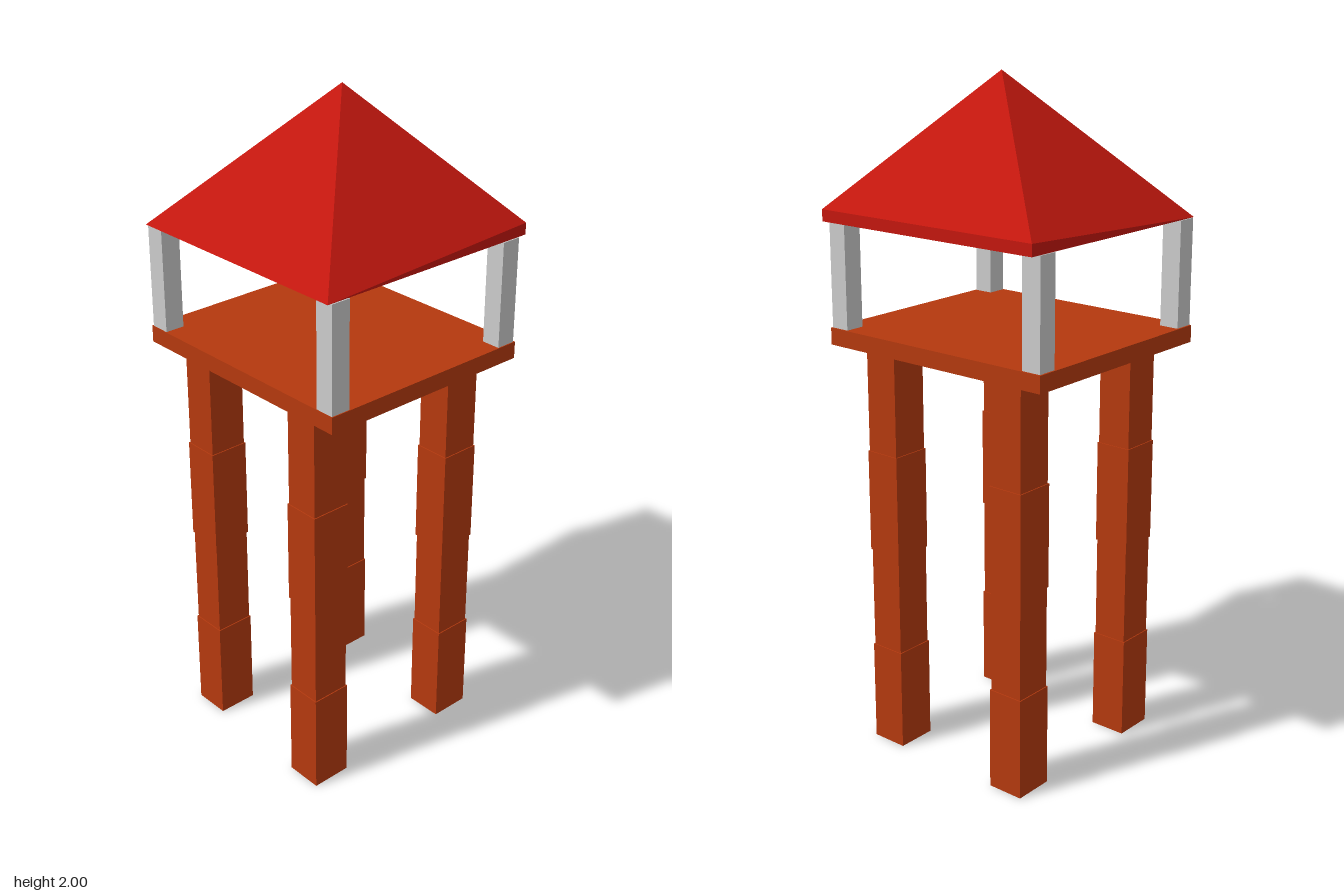
import * as THREE from 'three';

const wood = new THREE.MeshStandardMaterial({ color: 0xb5390e, flatShading: true });
const red = new THREE.MeshStandardMaterial({ color: 0xc4170e, flatShading: true });
const grey = new THREE.MeshStandardMaterial({ color: 0xcccccc, flatShading: true });

// Box given by its lower and upper limits on each axis
function box(name, material, [x0, x1], [y0, y1], [z0, z1]) {
  const mesh = new THREE.Mesh(new THREE.BoxGeometry(x1 - x0, y1 - y0, z1 - z0), material);
  mesh.position.set((x0 + x1) / 2, (y0 + y1) / 2, (z0 + z1) / 2);
  mesh.name = name;
  return mesh;
}

// Pyramid roof whose eave is a thin upright strip on the +x side only
function createRoof() {
  const x = 0.36, z = 0.376, low = 1.59, high = 1.624;
  const p = [
    [-x, low, z], [x, low, z], [x, low, -z], [-x, low, -z],
    [x, high, z], [x, high, -z], [0.012, 2, 0.018],
  ];
  const faces = [
    [0, 1, 4], [0, 4, 6], // front
    [1, 2, 5], [1, 5, 4], // eave strip
    [4, 5, 6], // left slope
    [2, 3, 5], [3, 6, 5], // back
    [3, 0, 6], // right slope
    [0, 3, 2], [0, 2, 1], // underside
  ];
  const geometry = new THREE.BufferGeometry();
  geometry.setAttribute('position', new THREE.Float32BufferAttribute(faces.flat().flatMap((i) => p[i]), 3));
  geometry.computeVertexNormals();
  const roof = new THREE.Mesh(geometry, red);
  roof.name = 'roof';
  return roof;
}

// Leg of four stacked blocks, every second one slightly thicker
function createLeg(x, z) {
  const leg = new THREE.Group();
  leg.name = 'leg';
  const h = 1.23 / 4;
  for (let i = 0; i < 4; i++) {
    const a = i % 2 ? 0.058 : 0.061, b = i % 2 ? 0.053 : 0.056;
    leg.add(box('legBlock', wood, [x - a, x + a], [i * h, (i + 1) * h], [z - b, z + b]));
  }
  return leg;
}

export function createModel() {
  const tower = new THREE.Group();
  tower.name = 'tower';

  // Legs: the back right one stands slightly further in
  tower.add(createLeg(-0.264, 0.226), createLeg(0.239, 0.226));
  tower.add(createLeg(-0.25, -0.236), createLeg(0.239, -0.236));

  tower.add(box('platform', wood, [-0.352, 0.335], [1.23, 1.28], [-0.385, 0.383]));

  // Corner posts between platform and roof
  for (const xs of [[-0.35, -0.29], [0.27, 0.33]]) {
    for (const zs of [[0.322, 0.38], [-0.38, -0.32]]) {
      tower.add(box('post', grey, xs, [1.28, 1.59], zs));
    }
  }

  tower.add(createRoof());
  return tower;
}
